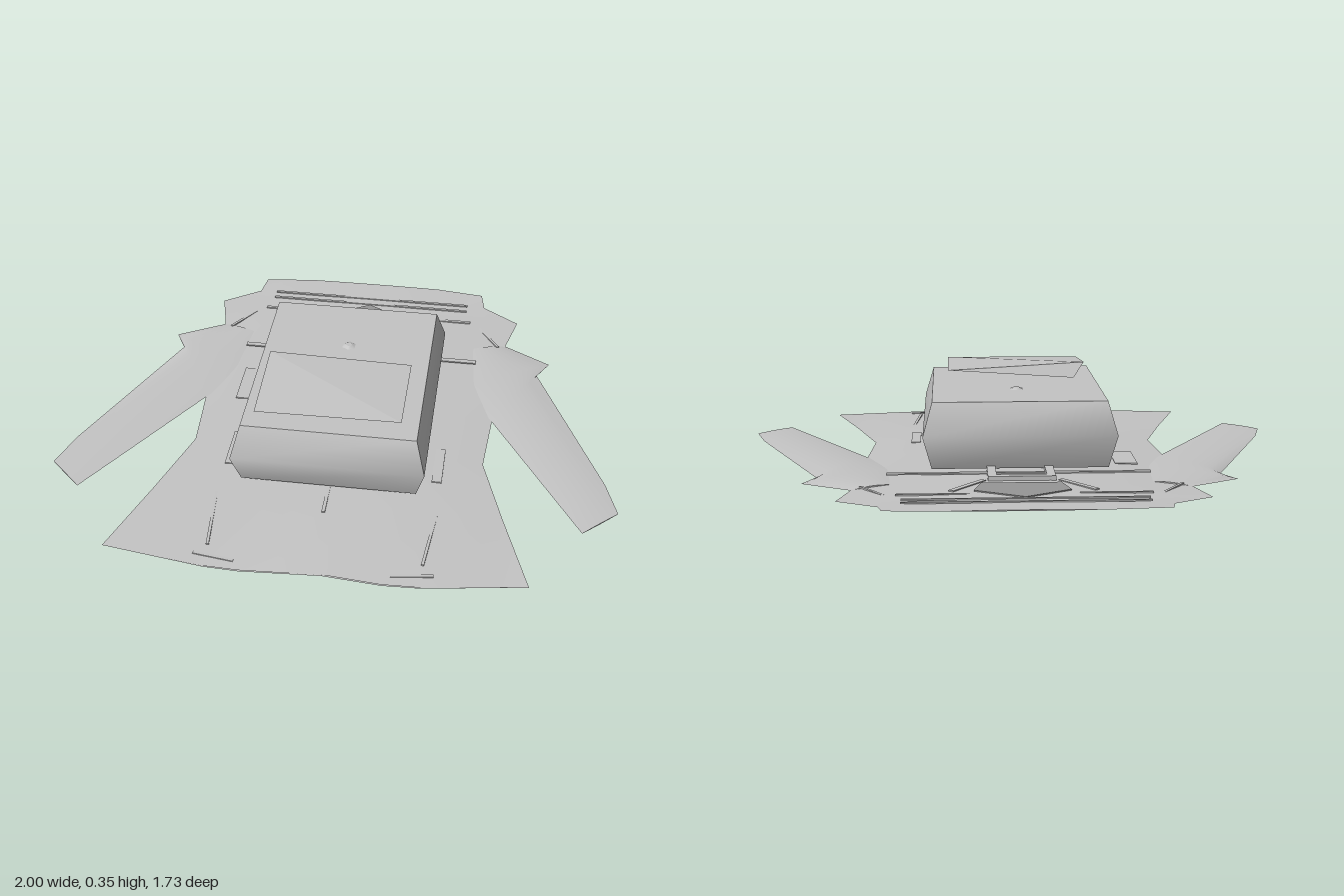
import * as THREE from 'three';
import { toCreasedNormals } from 'three/addons/utils/BufferGeometryUtils.js';
import { ConvexGeometry } from 'three/addons/geometries/ConvexGeometry.js';

const cloth = new THREE.MeshStandardMaterial({ color: 0xc4c4c4 });
cloth.name = 'lightGrey';
const lining = new THREE.MeshStandardMaterial({ color: 0x969696 });
lining.name = 'neckGrey';

// Skin a list of rings (each counterclockwise seen from the far end) and cap both ends
function loft(rings, crease = 0.9) {
  const pos = [];
  const tri = (...pts) => pts.forEach((p) => pos.push(...p));
  const n = rings[0].length;
  for (let r = 0; r < rings.length - 1; r++) {
    for (let i = 0; i < n; i++) {
      const j = (i + 1) % n, a = rings[r], b = rings[r + 1];
      tri(a[i], a[j], b[j]);
      tri(a[i], b[j], b[i]);
    }
  }
  const first = rings[0], last = rings[rings.length - 1];
  for (let i = 1; i < n - 1; i++) {
    tri(last[0], last[i], last[i + 1]);
    tri(first[0], first[i + 1], first[i]);
  }
  const g = new THREE.BufferGeometry();
  g.setAttribute('position', new THREE.Float32BufferAttribute(pos, 3));
  return toCreasedNormals(g, crease);
}

// Flat lens cross-section from P to Q ([x, z] pairs), P on the +x side
function lens(P, Q, y, h, bend = () => 0) {
  const ring = [], n = 12;
  for (let i = 0; i < 2 * n; i++) {
    const t = i <= n ? i / n : 2 - i / n;
    const u = 1 - 2 * t;
    const dy = h * (1 - u * u) * (i <= n ? 1 : -1);
    ring.push([P[0] + (Q[0] - P[0]) * t, y + dy, P[1] + (Q[1] - P[1]) * t + bend(u)]);
  }
  return ring;
}

// Body rows: z, half width, middle height, half thickness
const ROWS = [
  [-0.868, 0.27, 0.040, 0.002], [-0.848, 0.455, 0.038, 0.004], [-0.77, 0.47, 0.030, 0.009],
  [-0.68, 0.61, 0.026, 0.013], [-0.52, 0.57, 0.023, 0.016], [-0.40, 0.56, 0.021, 0.018],
  [-0.03, 0.543, 0.020, 0.020], [0.22, 0.525, 0.021, 0.019], [0.50, 0.61, 0.020, 0.013],
  [0.84, 0.71, 0.017, 0.003],
];

// Height of the upper body surface
function topY(x, z) {
  let i = 0;
  while (i < ROWS.length - 2 && ROWS[i + 1][0] < z) i++;
  const a = ROWS[i], b = ROWS[i + 1];
  const t = THREE.MathUtils.clamp((z - a[0]) / (b[0] - a[0]), 0, 1);
  const [w, y, h] = [1, 2, 3].map((k) => a[k] + (b[k] - a[k]) * t);
  return y + h * Math.max(0, 1 - (x / w) ** 2);
}

export function createModel() {
  const model = new THREE.Group();
  model.name = 'coatAndCase';
  const add = (name, geometry, material = cloth) => {
    const m = new THREE.Mesh(geometry, material);
    m.name = name;
    model.add(m);
    return m;
  };

  // Spread coat body with a gently waved hem
  const hem = (u) => {
    const a = Math.abs(u);
    return a < 0.41 ? 0.025 * a / 0.41 : 0.025 - 0.06 * (a - 0.41) / 0.59;
  };
  add('coatBody', loft(ROWS.map(([z, w, y, h], i) =>
    lens([w, z], [-w, z], y, h, i === ROWS.length - 1 ? hem : undefined))));

  // Sleeves: outer point, inner point, half thickness
  const sleeve = [
    [[0.57, -0.52], [0.40, -0.46], 0.010], [[0.745, -0.42], [0.42, -0.22], 0.012],
    [[0.70, -0.34], [0.543, -0.03], 0.012], [[0.957, 0.27], [0.80, 0.40], 0.005],
    [[1.0, 0.415], [0.878, 0.53], 0.002],
  ];
  add('leftSleeve', loft(sleeve.map(([o, i, h]) => lens(o, i, 0.021, h))));
  add('rightSleeve', loft(sleeve.map(([o, i, h]) =>
    lens([-i[0], i[1]], [-o[0], o[1]], 0.021, h))));

  // Dark neck opening
  const neck = new THREE.Shape([[-0.155, 0.62], [-0.13, 0.52], [0.14, 0.52], [0.165, 0.62], [0, 0.71]]
    .map((p) => new THREE.Vector2(...p)));
  const neckGeo = new THREE.ExtrudeGeometry(neck, { depth: 0.004, bevelEnabled: false });
  neckGeo.rotateX(-Math.PI / 2);
  add('neckOpening', neckGeo, lining).position.y = 0.039;

  // Thin cloth strip lying on the coat between two points
  const strip = (name, x1, z1, x2, z2, width) => {
    const len = Math.hypot(x2 - x1, z2 - z1);
    const s = add(name, new THREE.BoxGeometry(len, 0.005, width));
    const cx = (x1 + x2) / 2, cz = (z1 + z2) / 2;
    s.position.set(cx, topY(cx, cz) + 0.001, cz);
    s.rotation.y = -Math.atan2(z2 - z1, x2 - x1);
  };
  for (const side of [-1, 1]) {
    strip('lapel', side * 0.24, -0.61, side * 0.13, -0.47, 0.02);
    strip('hoodSeam', side * 0.18, -0.645, side * 0.42, -0.645, 0.012);
    strip('shoulderSeam', side * 0.46, -0.62, side * 0.54, -0.50, 0.01);
    strip('pocketFlap', side * 0.37, 0.17, side * 0.37, 0.35, 0.035);
    strip('sidePanel', side * 0.385, 0.50, side * 0.36, 0.76, 0.01);
    strip('hemTab', side * 0.26, 0.82, side * 0.40, 0.80, 0.012);
  }
  strip('chestPocket', -0.385, -0.22, -0.385, -0.03, 0.08);
  strip('chestYoke', -0.45, -0.37, 0.46, -0.37, 0.02);
  strip('frontPlacket', 0, 0.42, 0, 0.56, 0.012);
  for (const z of [-0.76, -0.72]) strip('hoodBand', -0.4, z, 0.4, z, 0.01);

  // Hard case with flared waist
  const level = (x0, x1, z0, z1, y) => [[x1, y, z1], [x1, y, z0], [x0, y, z0], [x0, y, z1]];
  add('caseBody', loft([
    level(-0.31, 0.305, -0.325, 0.435, 0.045),
    level(-0.337, 0.335, -0.373, 0.48, 0.165),
    level(-0.305, 0.302, -0.33, 0.435, 0.28),
  ]));
  const knob = add('caseStud', new THREE.CylinderGeometry(0.012, 0.028, 0.008, 6));
  knob.position.set(0, 0.283, -0.08);

  // Case carrying handle
  const bar = (x, z, w, d) =>
    add('caseHandle', new THREE.BoxGeometry(w, 0.018, d)).position.set(x, 0.045, z);
  bar(0, -0.467, 0.23, 0.026);
  for (const side of [-1, 1]) bar(side * 0.1, -0.385, 0.03, 0.14);

  // Folded sheet hovering over the lid
  add('foldedSheet', new ConvexGeometry([
    [-0.26, 0.35, 0.09], [0.245, 0.325, 0.07], [0.245, 0.325, 0.40],
    [-0.26, 0.322, 0.405], [-0.22, 0.295, 0.065],
  ].map((p) => new THREE.Vector3(...p))));

  return model;
}
